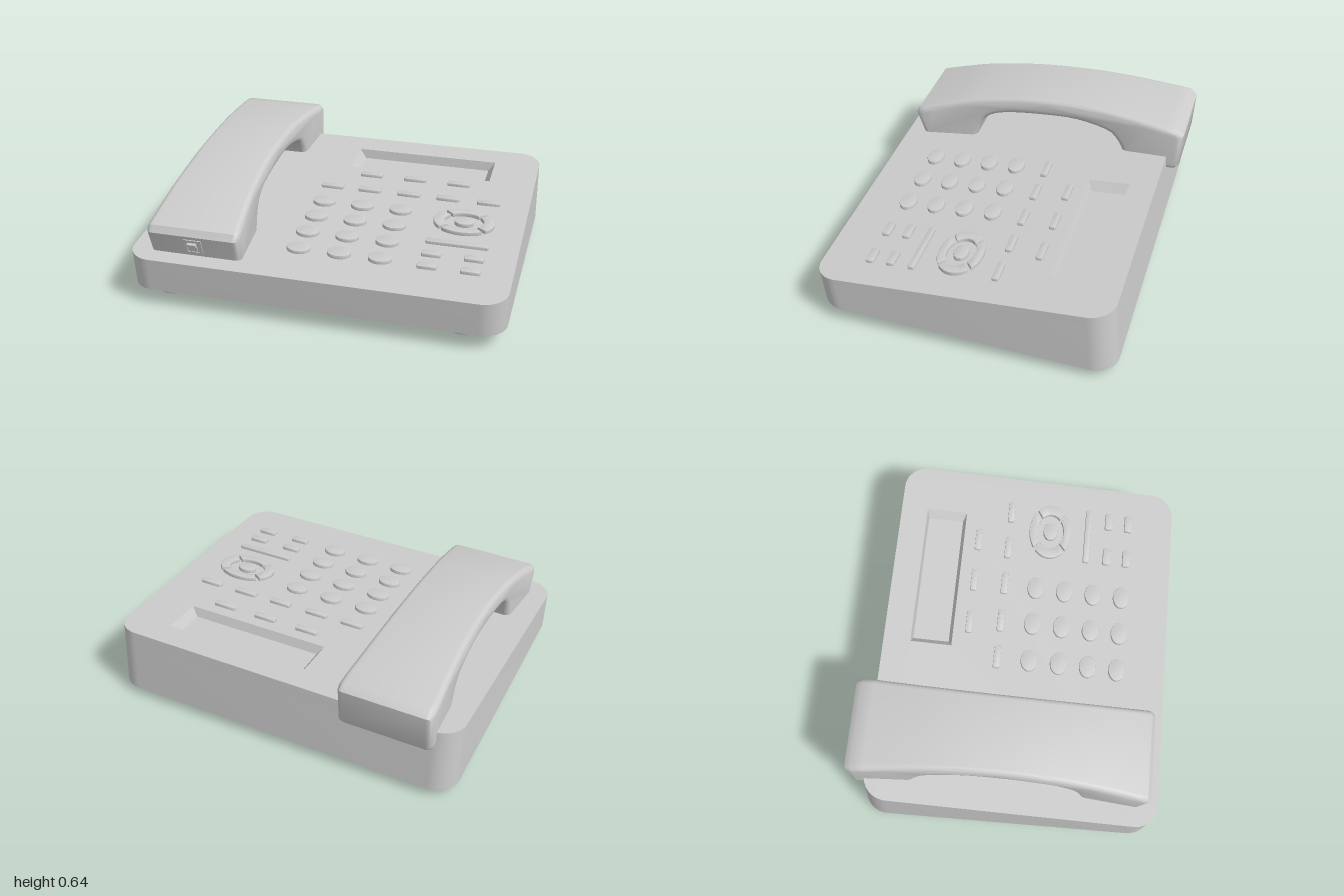
import * as THREE from 'three';
import { toCreasedNormals } from 'three/addons/utils/BufferGeometryUtils.js';

const grey = new THREE.MeshStandardMaterial({ color: 0xcccccc });
const SLOPE = 0.0816;
const deckY = (z) => 0.29 + (0.84 - z) * 0.0818;
const floorY = (z) => 0.05 + (z + 0.78) * 0.0313;

function mesh(name, geometry, parent, crease = 0.6) {
  const m = new THREE.Mesh(toCreasedNormals(geometry, crease), grey);
  m.name = name;
  parent.add(m);
  return m;
}

function roundedRect(w, d, r, cx = 0, cy = 0) {
  const s = new THREE.Shape();
  const x = w / 2, y = d / 2;
  s.absarc(cx + x - r, cy + y - r, r, 0, Math.PI / 2);
  s.absarc(cx - x + r, cy + y - r, r, Math.PI / 2, Math.PI);
  s.absarc(cx - x + r, cy - y + r, r, Math.PI, Math.PI * 1.5);
  s.absarc(cx + x - r, cy - y + r, r, Math.PI * 1.5, Math.PI * 2);
  s.closePath();
  return s;
}

function ellipse(rx, ry) {
  const s = new THREE.Shape();
  s.absellipse(0, 0, rx, ry, 0, Math.PI * 2);
  return s;
}

// Extrude a plan-view shape upwards
function slab(shape, height, curveSegments = 8, bevel = 0) {
  const g = new THREE.ExtrudeGeometry(shape, {
    depth: height - bevel, curveSegments, bevelEnabled: bevel > 0,
    bevelSize: bevel, bevelOffset: -bevel, bevelThickness: bevel, bevelSegments: 2,
  });
  return g.rotateX(-Math.PI / 2);
}

// Wedge the body between the sloping floor (t = 0) and deck (t = 1)
function wedge(g, t0, t1) {
  const p = g.attributes.position;
  for (let i = 0; i < p.count; i++) {
    let x = p.getX(i), z = p.getZ(i);
    const upper = p.getY(i) > 0.5;
    // Slant the walls of the display recess inwards
    if (!upper && Math.abs(x - 0.325) < 0.43 && z > -0.62 && z < -0.35) {
      x += x > 0.325 ? -0.037 : 0.037;
      z += z > -0.48 ? -0.018 : 0.012;
    }
    const t = upper ? t1 : t0;
    const u = (z - 0.045) / 0.795;
    const zb = 0.02 + 0.8 * u;
    p.setXYZ(i, x, THREE.MathUtils.lerp(floorY(zb), deckY(z), t), THREE.MathUtils.lerp(zb, z, t));
  }
  g.computeVertexNormals();
  return g;
}

function buildBody(parent) {
  const plan = () => roundedRect(2, 1.59, 0.13, 0, -0.045);
  mesh('baseShell', wedge(slab(plan(), 1), 0, 0.85), parent);
  const top = plan();
  const hole = new THREE.Path();
  hole.moveTo(-0.09, 0.6).lineTo(0.74, 0.6).lineTo(0.74, 0.37).lineTo(-0.09, 0.37).closePath();
  top.holes.push(hole);
  mesh('topShellWithDisplayRecess', wedge(slab(top, 1), 0.85, 1), parent);
}

function buildHandset(parent) {
  const v = (a) => a.map(([z, y]) => new THREE.Vector2(z, y));
  const s = new THREE.Shape();
  s.moveTo(0.735, 0.27).lineTo(0.787, 0.425).lineTo(0.767, 0.462);
  s.splineThru(v([[0.6, 0.52], [0.43, 0.57], [0.2, 0.614], [0, 0.636], [-0.25, 0.645], [-0.5, 0.632], [-0.8, 0.596]]));
  s.lineTo(-0.835, 0.566).lineTo(-0.825, 0.365).lineTo(-0.8, 0.335).lineTo(-0.72, 0.33).lineTo(-0.5, 0.35);
  s.lineTo(-0.48, 0.4);
  // Finger arch under the grip
  s.splineThru(v([[-0.455, 0.445], [-0.39, 0.505], [-0.2, 0.54], [0, 0.532], [0.22, 0.507], [0.33, 0.468], [0.38, 0.405], [0.41, 0.31]]));
  s.lineTo(0.42, 0.27).closePath();
  const bevel = 0.035, width = 0.51;
  const g = new THREE.ExtrudeGeometry(s, {
    depth: width - 2 * bevel, curveSegments: 3, bevelEnabled: true,
    bevelSize: bevel, bevelOffset: -bevel, bevelThickness: bevel, bevelSegments: 5,
  });
  g.translate(0, 0, -(width / 2 - bevel)).rotateY(-Math.PI / 2);
  // Narrow the grip towards the middle
  const p = g.attributes.position;
  for (let i = 0; i < p.count; i++) {
    const k = Math.min(1, (p.getZ(i) / 0.75) ** 2);
    p.setX(i, p.getX(i) * (0.86 + 0.14 * k));
  }
  g.computeVertexNormals();
  mesh('handset', g, parent, 0.7).position.x = -0.64;

  // Cord socket on the front end
  const socket = new THREE.Group();
  socket.name = 'cordSocket';
  socket.position.set(-0.64, 0.36, 0.762);
  socket.rotation.x = 0.32;
  const frame = roundedRect(0.1, 0.1, 0.005);
  frame.holes.push(roundedRect(0.066, 0.066, 0.004));
  mesh('socketFrame', new THREE.ExtrudeGeometry(frame, { depth: 0.008, bevelEnabled: false, curveSegments: 2 }), socket);
  mesh('socketPlug', new THREE.BoxGeometry(0.045, 0.035, 0.02), socket).position.set(0, -0.01, 0);
  mesh('socketClip', new THREE.BoxGeometry(0.045, 0.012, 0.03), socket).position.set(0, 0.026, 0.008);
  parent.add(socket);
}

function buildKeys(parent) {
  const keys = new THREE.Group();
  keys.name = 'keys';
  parent.add(keys);
  const place = (name, shape, x, z, h = 0.018, segs = 8) => {
    const sink = 0.01;
    const m = mesh(name, slab(shape, h + sink, segs, 0.004), keys);
    m.position.set(x, deckY(z) - sink, z);
    m.rotation.x = SLOPE;
  };
  const bar = (w, d) => roundedRect(w, d, 0.01);

  // Number pad
  for (const z of [0.07, 0.235, 0.4, 0.565])
    for (const x of [-0.13, 0.09, 0.31]) place('numberKey', ellipse(0.064, 0.047), x, z, 0.02, 28);

  // Display keys and function row
  for (const x of [0.06, 0.32, 0.575]) place('displayKey', bar(0.13, 0.038), x, -0.285);
  for (const x of [-0.13, 0.09, 0.32, 0.545, 0.775]) place('functionKey', bar(0.13, 0.038), x, -0.11);

  // Long bar and four small keys
  place('longKey', bar(0.335, 0.036), 0.675, 0.345);
  for (const z of [0.465, 0.58])
    for (const x of [0.56, 0.785]) place('smallKey', bar(0.104, 0.044), x, z);

  // Navigation pad: four arc keys around a centre key
  for (let q = 0; q < 4; q++) {
    const a0 = (q - 0.5) * Math.PI / 2 + 0.07, a1 = (q + 0.5) * Math.PI / 2 - 0.07;
    const s = new THREE.Shape();
    for (let i = 0; i <= 10; i++) {
      const a = a0 + (a1 - a0) * i / 10;
      s[i ? 'lineTo' : 'moveTo'](0.168 * Math.cos(a), 0.122 * Math.sin(a));
    }
    for (let i = 10; i >= 0; i--) {
      const a = a0 + (a1 - a0) * i / 10;
      s.lineTo(0.108 * Math.cos(a), 0.077 * Math.sin(a));
    }
    s.closePath();
    place('arrowKey', s, 0.675, 0.125, 0.022);
  }
  place('navigationCentre', ellipse(0.054, 0.04), 0.675, 0.125, 0.022, 28);
}

function buildFeet(parent) {
  for (const x of [-0.79, 0.79])
    for (const z of [-0.645, 0.69]) {
      const h = 0.07;
      const foot = mesh('foot', slab(ellipse(0.093, 0.067), h, 32, 0.006), parent);
      foot.geometry.rotateX(Math.PI);
      foot.position.set(x, floorY(z) + 0.02, z);
      foot.rotation.x = -0.031;
    }
}

export function createModel() {
  const phone = new THREE.Group();
  phone.name = 'deskPhone';
  buildBody(phone);
  buildHandset(phone);
  buildKeys(phone);
  buildFeet(phone);
  return phone;
}
